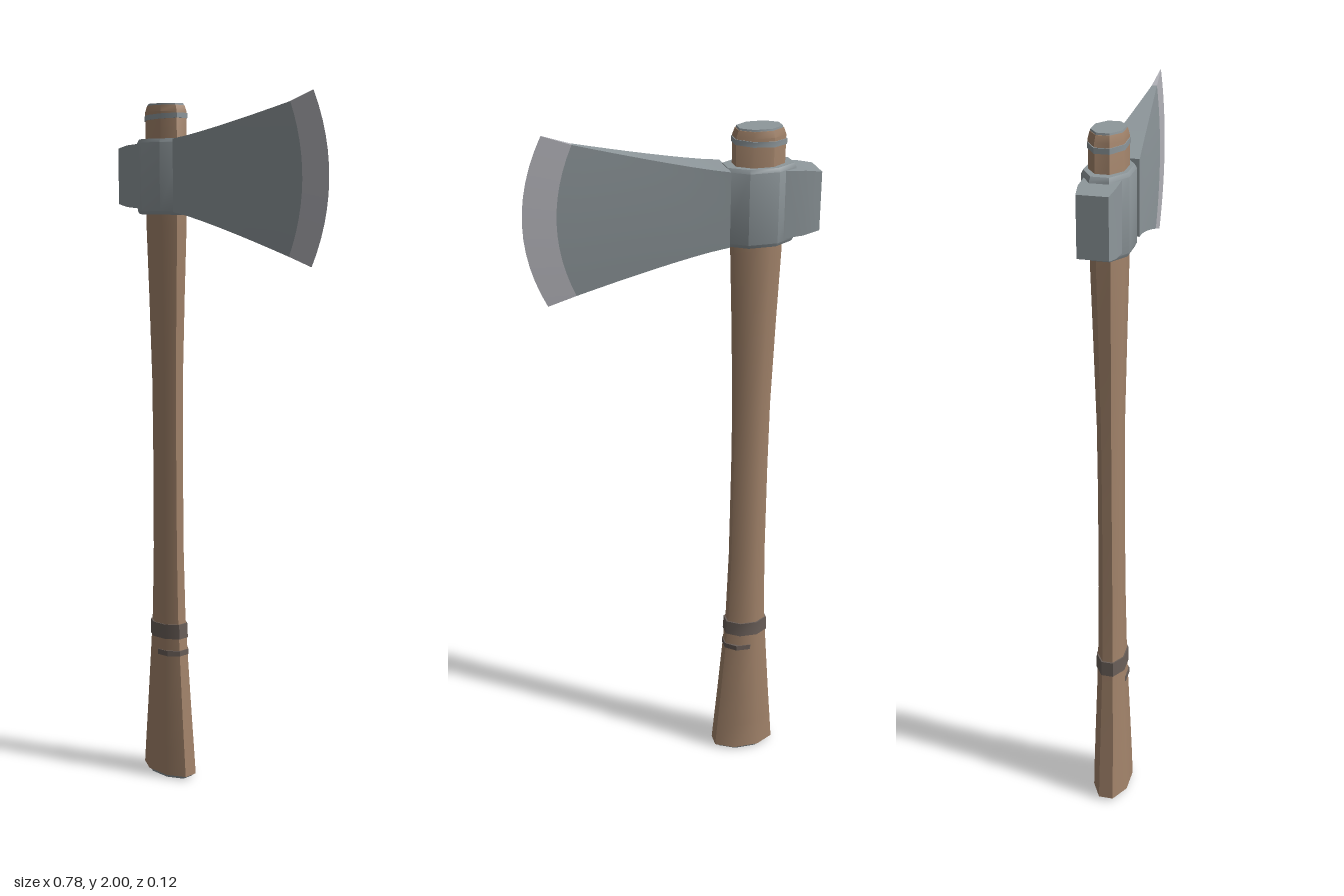
import * as THREE from 'three';
import { toCreasedNormals } from 'three/addons/utils/BufferGeometryUtils.js';

const AXIS_X = -0.23; // centre line of the handle
const lerp = THREE.MathUtils.lerp;

// Skin a list of rings; each ring turns so that axis x tangent points outward
function loft(rings, crease = 0.65, capStart = true, capEnd = true) {
  const pos = [], idx = [], n = rings[0].length;
  rings.forEach(r => r.forEach(p => pos.push(...p)));
  for (let k = 0; k < rings.length - 1; k++) {
    for (let i = 0; i < n; i++) {
      const a = k * n + i, b = k * n + (i + 1) % n;
      idx.push(a, a + n, b, b, a + n, b + n);
    }
  }
  const cap = (k, flip) => {
    const c = pos.length / 3;
    pos.push(...[0, 1, 2].map(j => rings[k].reduce((s, p) => s + p[j], 0) / n));
    for (let i = 0; i < n; i++) {
      const a = k * n + i, b = k * n + (i + 1) % n;
      idx.push(c, flip ? b : a, flip ? a : b);
    }
  };
  if (capStart) cap(0, false);
  if (capEnd) cap(rings.length - 1, true);
  const g = new THREE.BufferGeometry();
  g.setAttribute('position', new THREE.Float32BufferAttribute(pos, 3));
  g.setIndex(idx);
  return toCreasedNormals(g, crease);
}

// Flattened octagon stack from [y, half width, half depth]; tilt leans it along x
function octagons(sections, cx = AXIS_X, tilt = 0) {
  const k = 1 / Math.cos(Math.PI / 8);
  return loft(sections.map(([y, rx, rz]) => Array.from({ length: 8 }, (_, i) => {
    const a = (i + 0.5) * Math.PI / 4;
    const x = Math.cos(a) * rx * k;
    return [cx + x, y + x * tilt, Math.sin(a) * rz * k];
  })));
}

export function createModel() {
  const group = new THREE.Group();
  const mat = (name, color) => {
    const m = new THREE.MeshStandardMaterial({ color });
    m.name = name;
    return m;
  };
  const wood = mat('wood', 0xa3846b);
  const steel = mat('steel', 0x8e979b);
  const edge = mat('sharpened steel', 0xb3b3b9);
  const leather = mat('dark leather', 0x6a5f59);
  const add = (name, geometry, material) => {
    const m = new THREE.Mesh(geometry, material);
    m.name = name;
    group.add(m);
  };

  // Handle, flared at the foot and swelling into the head
  add('handle', octagons([
    [0.01, 0.092, 0.05], [0.1, 0.085, 0.048], [0.2, 0.077, 0.045], [0.38, 0.064, 0.039],
    [0.5, 0.056, 0.036], [0.7, 0.051, 0.033], [1.0, 0.05, 0.032], [1.2, 0.051, 0.033],
    [1.45, 0.058, 0.039], [1.65, 0.065, 0.044], [1.965, 0.066, 0.045], [1.982, 0.06, 0.041],
  ]), wood);
  add('buttCap', octagons([[0, 0.078, 0.042], [0.012, 0.086, 0.047]]), steel);
  add('topCap', octagons([[1.975, 0.059, 0.041], [1.987, 0.057, 0.039]]), steel);
  add('topBand', octagons([[1.943, 0.069, 0.047], [1.957, 0.069, 0.047]], AXIS_X, 0.05), steel);

  // Leather grip wraps; the lower one only shows on one side
  add('gripWrap', octagons([[0.432, 0.064, 0.041], [0.476, 0.062, 0.04]], AXIS_X, 0.03), leather);
  add('gripWrapTail', octagons([[0.38, 0.051, 0.0405], [0.396, 0.051, 0.0405]], -0.215, 0.04), leather);

  // Eye of the head around the handle
  add('eyeCollar', octagons([
    [1.68, 0.089, 0.055], [1.69, 0.095, 0.06], [1.88, 0.095, 0.06], [1.89, 0.089, 0.055],
  ]), steel);

  // Square poll behind the eye
  add('poll', loft([
    [-0.39, 0.079, 0.04], [-0.345, 0.087, 0.047], [-0.26, 0.093, 0.047],
  ].map(([x, h, d]) => [
    [x, 1.787 - h, d], [x, 1.787 + h, d], [x, 1.787 + h, -d], [x, 1.787 - h, -d],
  ]), 0.3), steel);

  // Blade rings run up the front face and down the back one
  const ROWS = 12;
  const bladeRing = (point, halfDepth) => {
    const front = Array.from({ length: ROWS + 1 }, (_, i) => point(i / ROWS));
    return [
      ...front.map(([x, y]) => [x, y, halfDepth]),
      ...front.reverse().map(([x, y]) => [x, y, -halfDepth]),
    ];
  };
  const bulge = v => 1 - (2 * v - 1) ** 2;
  const shoulder = v => [0.255 + 0.045 * bulge(v), lerp(1.575, 1.974, v)];
  const rim = v => [0.33 + 0.057 * bulge(v), lerp(1.55, 2.0, v)];

  const body = [];
  for (let k = 0; k <= 8; k++) {
    const t = k / 8, flare = t ** 1.15;
    body.push(bladeRing(v => {
      const [sx, sy] = shoulder(v);
      return [lerp(-0.142, sx, t), lerp(lerp(1.688, 1.888, v), sy, flare)];
    }, lerp(0.055, 0.007, t ** 0.93)));
  }
  add('blade', loft(body, 0.5, true, false), steel);
  add('cuttingEdge', loft([bladeRing(shoulder, 0.007), bladeRing(rim, 0.0008)], 0.5, false, false), edge);

  return group;
}
